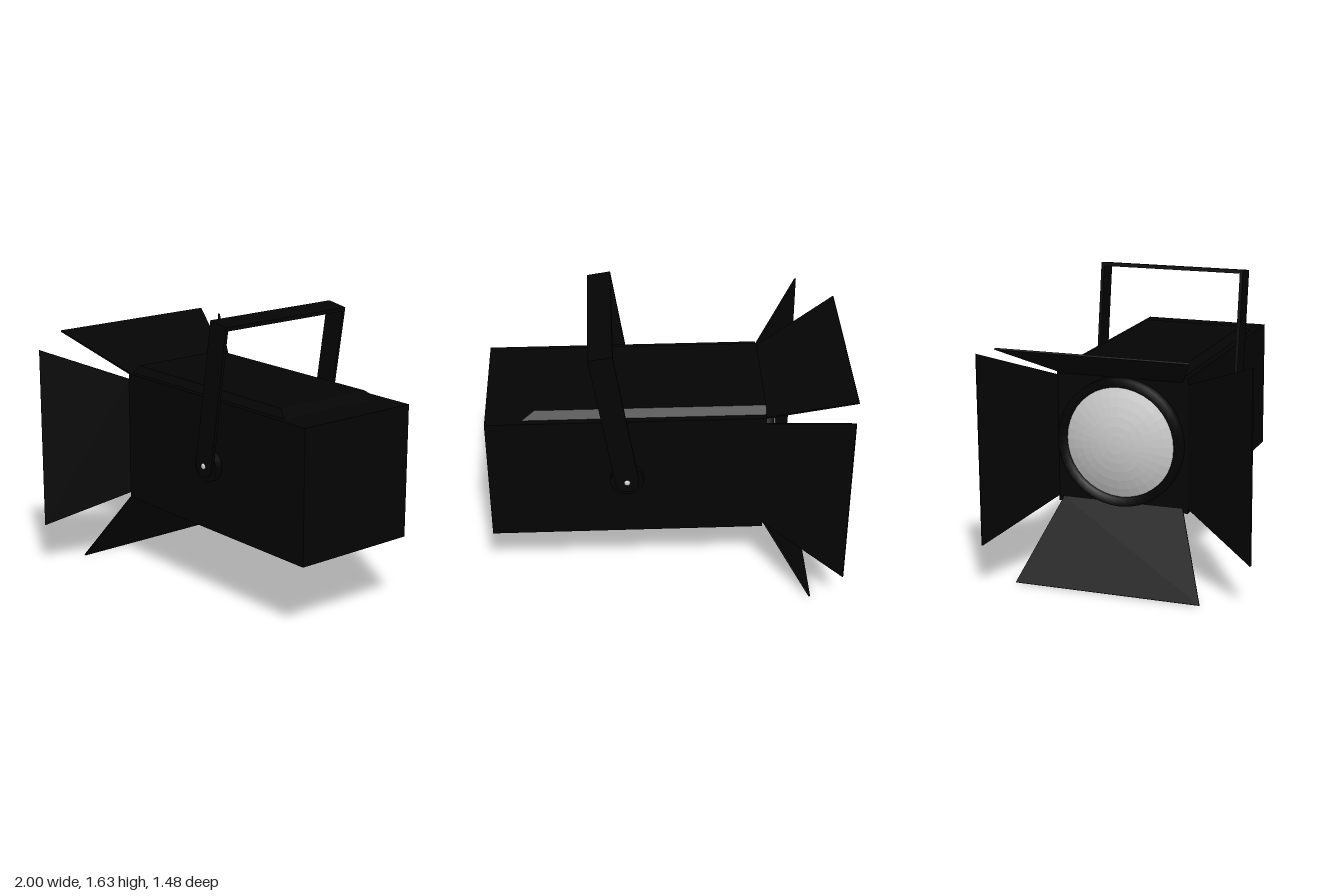
import * as THREE from 'three';

const black = new THREE.MeshStandardMaterial({ color: 0x040404, side: THREE.DoubleSide });
const grey = new THREE.MeshStandardMaterial({ color: 0xcccccc });
const lensGrey = new THREE.MeshStandardMaterial({ color: 0xcccccc, flatShading: true, side: THREE.DoubleSide });

const MID_Y = 0.795, MID_Z = -0.08, FRONT_X = -0.53;

function add(parent, name, geometry, material, x = 0, y = 0, z = 0) {
  const mesh = new THREE.Mesh(geometry, material);
  mesh.name = name;
  mesh.position.set(x, y, z);
  parent.add(mesh);
  return mesh;
}

// Thin trapezoid plate: hinge edge a-b, outer edge c-d (c beyond a, d beyond b)
function plateGeometry(a, b, c, d, thickness = 0.01) {
  const [A, B, C, D] = [a, b, c, d].map(p => new THREE.Vector3(...p));
  const normal = C.clone().sub(A).cross(B.clone().sub(A)).normalize();
  const geo = new THREE.BoxGeometry(1, 1, thickness);
  const pos = geo.attributes.position;
  for (let i = 0; i < pos.count; i++) {
    const u = pos.getX(i) + 0.5, v = pos.getY(i) + 0.5;
    const p = A.clone().lerp(C, u).lerp(B.clone().lerp(D, u), v).addScaledVector(normal, pos.getZ(i));
    pos.setXYZ(i, p.x, p.y, p.z);
  }
  geo.computeVertexNormals();
  return geo;
}

export function createModel() {
  const model = new THREE.Group();
  model.name = 'stageLight';

  // Housing
  add(model, 'housing', new THREE.BoxGeometry(1.53, 0.76, 0.76), black, 0.235, MID_Y, MID_Z);

  // Raised lid with sloping sides and back
  const lid = new THREE.BoxGeometry(1, 1, 1);
  const lp = lid.attributes.position;
  for (let i = 0; i < lp.count; i++) {
    const top = lp.getY(i) > 0;
    lp.setXYZ(i,
      lp.getX(i) < 0 ? FRONT_X : top ? 0.73 : 0.81,
      top ? 1.212 : 1.17,
      MID_Z + Math.sign(lp.getZ(i)) * (top ? 0.305 : 0.35));
  }
  lid.computeVertexNormals();
  add(model, 'lid', lid, black);

  // Lens and its ring, turned so the lathe axis points to -x
  const lensUnit = new THREE.Group();
  lensUnit.name = 'lensUnit';
  lensUnit.position.set(FRONT_X, MID_Y, MID_Z);
  lensUnit.rotation.z = Math.PI / 2;
  model.add(lensUnit);
  const ring = [[0.36, -0.01], [0.36, 0.055], [0.315, 0.055], [0.31, 0.02]].map(p => new THREE.Vector2(...p));
  add(lensUnit, 'lensRing', new THREE.LatheGeometry(ring, 40), black);
  const dome = [];
  for (let i = 0; i <= 6; i++) {
    const t = i / 6;
    dome.push(new THREE.Vector2(0.314 * t, 0.03 + 0.07 * (1 - t * t)));
  }
  add(lensUnit, 'lens', new THREE.LatheGeometry(dome.reverse(), 32), lensGrey);

  // Barn doors
  const doors = new THREE.Group();
  doors.name = 'barnDoors';
  model.add(doors);
  const upright = (z0, x1, z1) => plateGeometry(
    [FRONT_X, 0.447, z0], [FRONT_X, 1.143, z0], [x1, 0.26, z1], [x1, 1.33, z1]);
  const level = (y0, x1, y1) => plateGeometry(
    [FRONT_X, y0, 0.27], [FRONT_X, y0, -0.43], [x1, y1, 0.457], [x1, y1, -0.614]);
  add(doors, 'sideDoorNear', upright(0.3, -0.806, 0.737), black);
  add(doors, 'sideDoorFar', upright(-0.46, -0.967, -0.737), black);
  add(doors, 'topDoor', level(1.157, -0.997, 1.373), black);
  add(doors, 'bottomDoor', level(0.44, -0.806, 0.003), black);

  // Yoke: two round-ended arms and a crossbar, tilted about the pivot
  const yoke = new THREE.Group();
  yoke.name = 'yoke';
  yoke.position.set(0.235, 0.8, MID_Z);
  yoke.rotation.z = -THREE.MathUtils.degToRad(9);
  model.add(yoke);
  const r = 0.066, height = 0.834;
  const arm = new THREE.Shape();
  arm.moveTo(r, height);
  arm.lineTo(-r, height);
  arm.lineTo(-r, 0);
  arm.absarc(0, 0, r, Math.PI, Math.PI * 2, false);
  arm.closePath();
  const armGeo = new THREE.ExtrudeGeometry(arm, { depth: 0.018, bevelEnabled: false, curveSegments: 16 });
  add(yoke, 'crossbar', new THREE.BoxGeometry(2 * r, 0.022, 0.87), black, 0, height - 0.011, 0);
  for (const side of [-1, 1]) {
    add(yoke, 'yokeArm', armGeo, black, 0, 0, side * 0.427 - 0.009);
    const spacer = add(yoke, 'pivotDisc', new THREE.CylinderGeometry(0.092, 0.092, 0.045, 32), black, 0, 0, side * 0.399);
    spacer.rotation.x = Math.PI / 2;
    const screw = add(yoke, 'pivotScrew', new THREE.SphereGeometry(0.017, 16, 12), grey, 0, 0, side * 0.436);
    screw.scale.z = 0.7;
  }
  return model;
}
